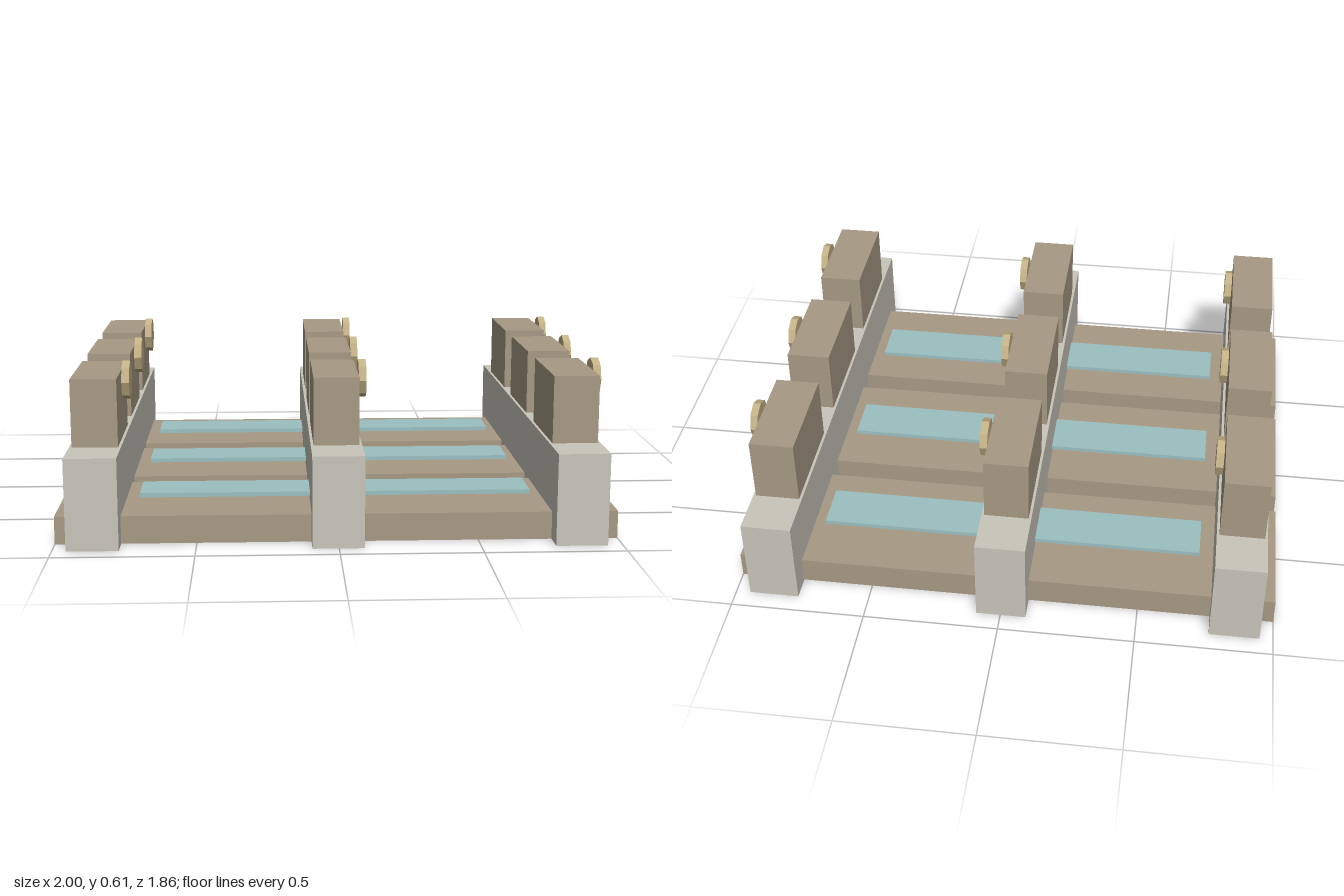
import * as THREE from 'three';

const material = (name, color) => {
  const m = new THREE.MeshStandardMaterial({ color });
  m.name = name;
  return m;
};

export function createModel() {
  const wood = material('brown wood', 0xa79984);
  const stone = material('pale grey', 0xc9c5ba);
  const glass = material('pale teal', 0x9cc0c1);
  const brass = material('brass', 0xc3b186);
  brass.flatShading = true;

  const model = new THREE.Group();
  model.name = 'rack';
  const add = (name, geometry, mat, x, y, z) => {
    const mesh = new THREE.Mesh(geometry, mat);
    mesh.name = name;
    mesh.position.set(x, y, z);
    model.add(mesh);
  };

  const columns = [-0.859, -0.002, 0.855];
  const rows = [-0.557, 0, 0.557];

  const slat = new THREE.BoxGeometry(2, 0.1, 0.5);
  const strip = new THREE.BoxGeometry(1.428, 0.016, 0.178);
  const beam = new THREE.BoxGeometry(0.184, 0.33, 1.857);
  const block = new THREE.BoxGeometry(0.164, 0.245, 0.393);
  // Octagonal disc facing sideways, with corners on the axes
  const knob = new THREE.CylinderGeometry(0.07, 0.07, 0.028, 8).rotateZ(-Math.PI / 2);

  // Floor slats with a thin coloured strip floating just above each
  for (const z of rows) {
    add('floorSlat', slat, wood, 0, 0.05, z * 1.055);
    add('strip', strip, glass, 0, 0.126, z);
  }

  // Cross beams carrying three blocks, each with a knob on its left side
  for (const x of columns) {
    add('crossBeam', beam, stone, x, 0.165, 0);
    for (const z of rows) {
      add('block', block, wood, x, 0.4525, z);
      add('knob', knob, brass, x + 0.101, 0.539, z);
    }
  }
  return model;
}
